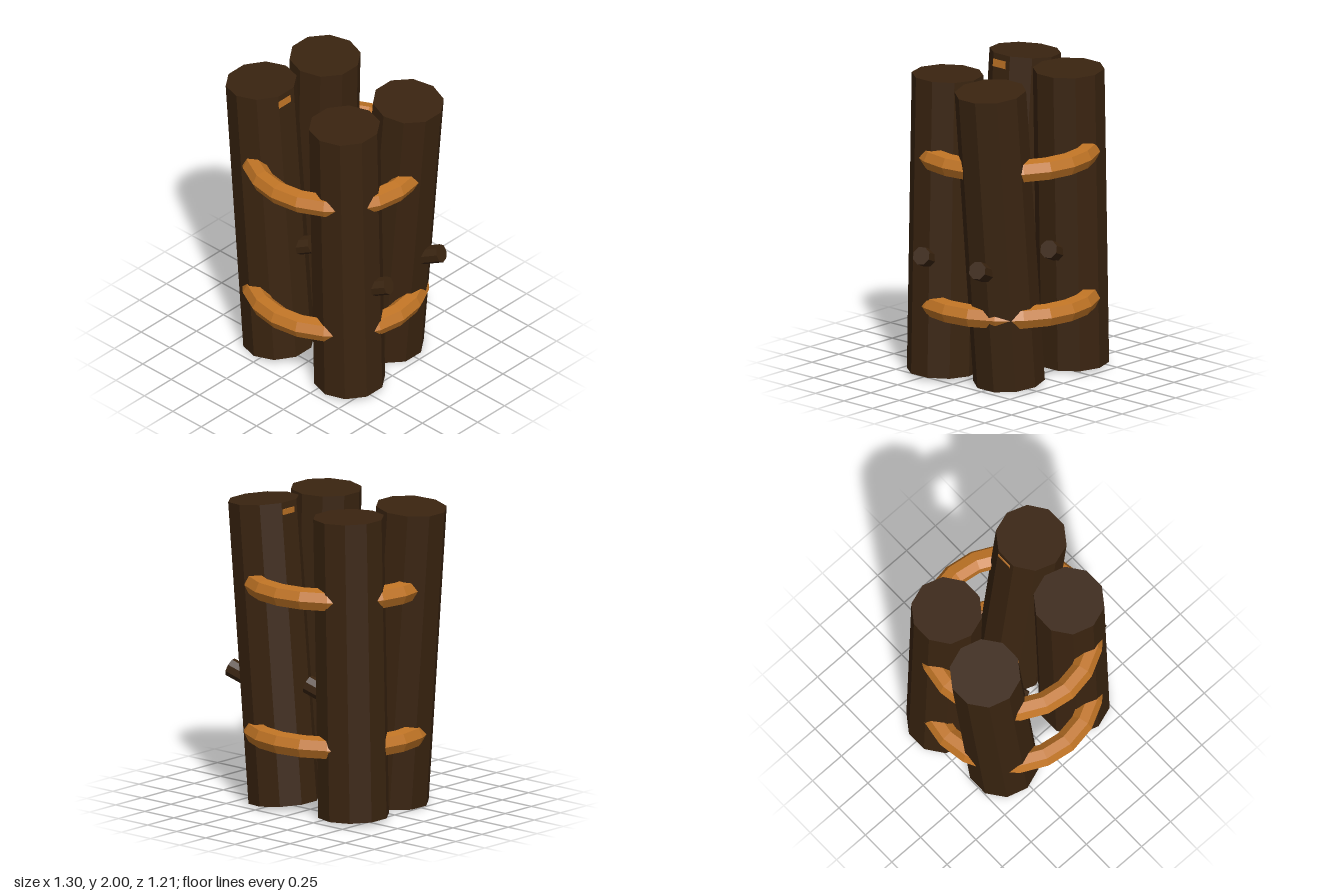
import * as THREE from 'three';

export function createModel() {
  const model = new THREE.Group();
  model.name = 'logBundle';

  const bark = new THREE.MeshStandardMaterial({ name: 'dark bark', color: 0x3a2410, flatShading: true });
  const rope = new THREE.MeshStandardMaterial({ name: 'orange rope', color: 0xc07425, flatShading: true });

  const UP = new THREE.Vector3(0, 1, 0);
  function add(geometry, material, name) {
    const mesh = new THREE.Mesh(geometry, material);
    mesh.name = name;
    model.add(mesh);
    return mesh;
  }
  // Straight cylinder between two points
  function rod(from, to, radius, sides, name) {
    const dir = to.clone().sub(from);
    const mesh = add(new THREE.CylinderGeometry(radius, radius, dir.length(), sides), bark, name);
    mesh.position.copy(from).lerp(to, 0.5);
    mesh.quaternion.setFromUnitVectors(UP, dir.normalize());
    return mesh;
  }

  // Logs lean sideways: top x, bottom x, z; each has one cut branch stub
  const logs = [
    { name: 'frontRight', top: -0.43, bottom: -0.275, z: 0.237, stubX: -0.045 },
    { name: 'frontLeft', top: 0.3, bottom: 0.345, z: 0.234, stubX: 0.622 },
    { name: 'backRight', top: -0.322, bottom: -0.365, z: -0.244, stubX: -0.045 },
    { name: 'backLeft', top: 0.41, bottom: 0.235, z: -0.244, stubX: 0.622 },
  ];
  const stubDir = new THREE.Vector3(0.87, 0.38, -0.27).normalize();
  for (const { name, top, bottom, z, stubX } of logs) {
    rod(new THREE.Vector3(bottom, 0.022, z), new THREE.Vector3(top, 1.983, z), 0.231, 10, name + 'Log');
    const tip = new THREE.Vector3(stubX, 0.852, z > 0 ? 0.163 : -0.328);
    rod(tip.clone().addScaledVector(stubDir, -0.28), tip, 0.06, 8, name + 'BranchStub');
  }

  // Two rope rings tie the logs together
  for (const [name, y] of [['lowerRope', 0.49], ['upperRope', 1.465]]) {
    const ring = new THREE.TorusGeometry(0.528, 0.075, 7, 20);
    ring.rotateX(Math.PI / 2);
    add(ring, rope, name).position.y = y;
  }

  // Small rope scraps near the tops of the two leaning logs
  for (const [x, z] of [[-0.216, 0.255], [0.195, -0.255]]) {
    const scrap = add(new THREE.BoxGeometry(0.024, 0.05, 0.11), rope, 'ropeScrap');
    scrap.position.set(x, 1.935, z);
    scrap.rotation.z = 0.08;
  }
  return model;
}
